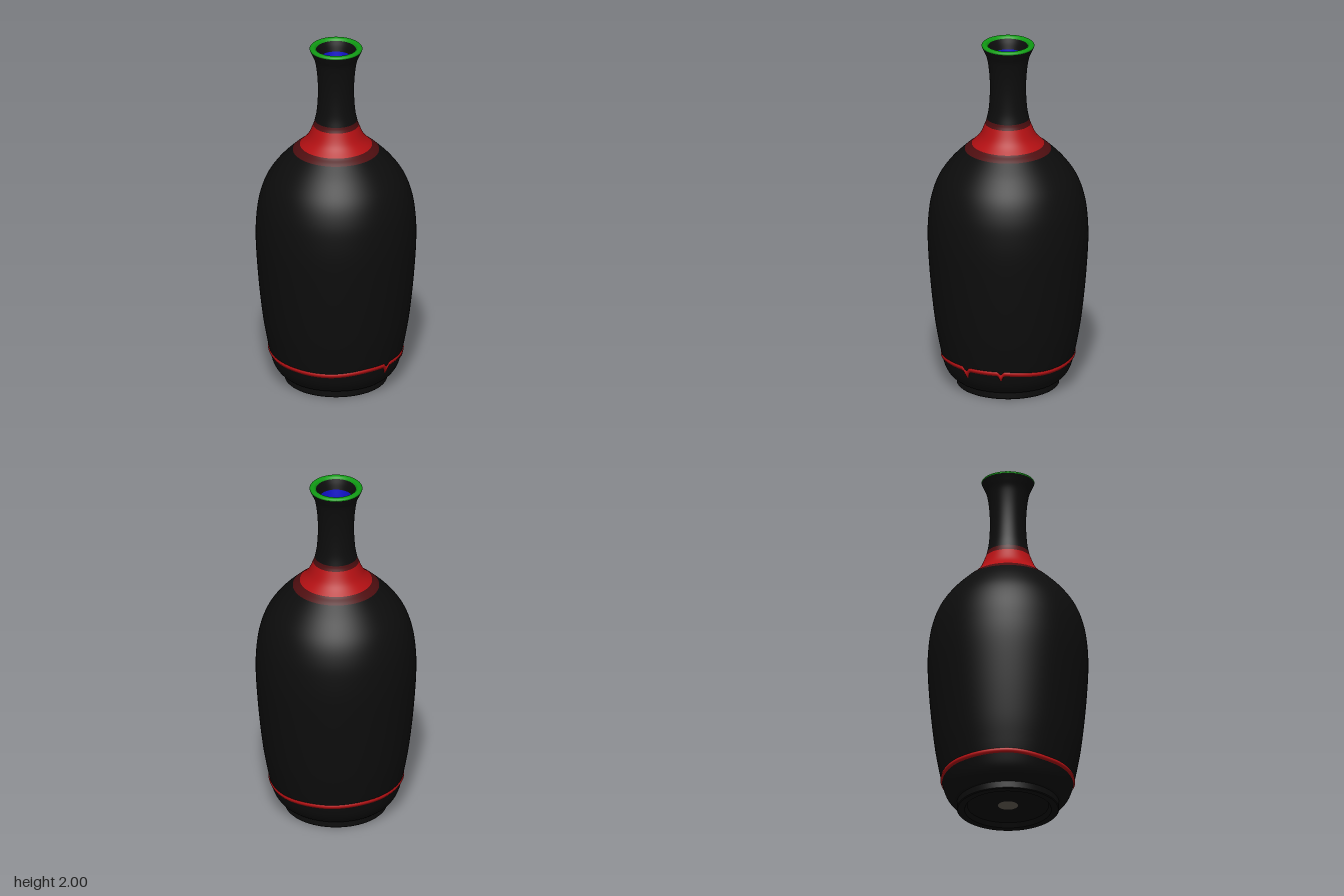
import * as THREE from 'three';
import { toCreasedNormals } from 'three/addons/utils/BufferGeometryUtils.js';

const SEG = 96;
const paint = (name, color) => {
  const m = new THREE.MeshStandardMaterial({ color });
  m.name = name;
  return m;
};
const vec = (list) => list.map(([r, y]) => new THREE.Vector2(r, y));
const smooth = (list, n) => new THREE.SplineCurve(vec(list)).getPoints(n);

// Outer wall from the foot to the lip
const wall = smooth([
  [0.298, 0.045], [0.325, 0.07], [0.348, 0.11], [0.365, 0.17], [0.384, 0.26], [0.407, 0.4],
  [0.43, 0.62], [0.444, 0.85], [0.438, 1.0], [0.419, 1.11], [0.381, 1.21], [0.318, 1.3],
  [0.239, 1.38], [0.2, 1.412], [0.157, 1.46], [0.126, 1.53], [0.117, 1.56], [0.106, 1.62],
  [0.1, 1.72], [0.103, 1.82], [0.115, 1.91], [0.132, 1.955], [0.145, 1.985],
], 132);

// Wall radius at a height
function radiusAt(y) {
  let i = 1;
  while (i < wall.length - 1 && wall[i].y < y) i++;
  const a = wall[i - 1], b = wall[i];
  return a.x + (b.x - a.x) * (y - a.y) / (b.y - a.y);
}

// Part of the wall between two heights
const slice = (y0, y1) => [
  new THREE.Vector2(radiusAt(y0), y0),
  ...wall.filter((p) => p.y > y0 + 0.002 && p.y < y1 - 0.002),
  new THREE.Vector2(radiusAt(y1), y1),
];

// Height of the glaze edge around the body, in steps of 45 degrees
const EDGE = [0.172, 0.165, 0.182, 0.182, 0.165, 0.175, 0.186, 0.19];
function edgeAt(angle) {
  const t = (angle / (Math.PI * 2)) * 8;
  const i = Math.floor(t) % 8;
  const f = (1 - Math.cos((t - Math.floor(t)) * Math.PI)) / 2;
  return EDGE[i] * (1 - f) + EDGE[(i + 1) % 8] * f;
}
// Two drips: angle, depth, width
const DRIPS = [[1.82, 0.043, 0.042], [2.39, 0.033, 0.03]];
const dripAt = (angle) =>
  DRIPS.reduce((s, [a, d, w]) => s + d * Math.exp(-(((angle - a) / w) ** 2)), 0);

// Raised wavy bead, laid over the wall
function glazeEdge() {
  const around = 384, rows = 6, pos = [], index = [];
  for (let i = 0; i <= around; i++) {
    const a = ((i % around) / around) * Math.PI * 2;
    const low = edgeAt(a) - 0.013 - dripAt(a);
    const high = edgeAt(a) + 0.013 - dripAt(a) * 0.6;
    for (let j = 0; j <= rows; j++) {
      const t = j / rows;
      const y = low + (high - low) * t;
      const r = radiusAt(y) + 0.0008 + 0.006 * Math.sin(Math.PI * t);
      pos.push(r * Math.sin(a), y, r * Math.cos(a));
      if (i < around && j < rows) {
        const p = i * (rows + 1) + j, q = p + rows + 1;
        index.push(p, q, p + 1, q + 1, p + 1, q);
      }
    }
  }
  const g = new THREE.BufferGeometry();
  g.setAttribute('position', new THREE.Float32BufferAttribute(pos, 3));
  g.setIndex(index);
  g.computeVertexNormals();
  return g;
}

export function createModel() {
  const black = paint('black glaze', 0x0d0d0d);
  const red = paint('red', 0xb41013);
  const darkRed = paint('dark red', 0x4e0e10);
  const green = paint('green', 0x109a14);
  const blue = paint('blue', 0x1010c8);
  const grey = paint('grey clay', 0x70685e);

  const group = new THREE.Group();
  const add = (name, geometry, material) => {
    const mesh = new THREE.Mesh(geometry, material);
    mesh.name = name;
    group.add(mesh);
  };
  const turn = (name, points, material) =>
    add(name, new THREE.LatheGeometry(points, SEG), material);

  // Foot ring with a recessed base and a bare spot
  turn('baseSpot', vec([[0, 0.025], [0.055, 0.025]]), grey);
  const foot = vec([[0.055, 0.025], [0.225, 0.025], [0.24, 0], [0.278, 0],
    [0.283, 0.005], [0.283, 0.042], [0.298, 0.045]]);
  add('foot', toCreasedNormals(new THREE.LatheGeometry(foot, SEG), 0.5), black);

  // Outer wall in coloured zones
  turn('body', slice(0.045, 1.38), black);
  turn('lowerShoulderBand', slice(1.38, 1.412), darkRed);
  turn('shoulderBand', slice(1.412, 1.53), red);
  turn('upperShoulderBand', slice(1.53, 1.56), darkRed);
  turn('neck', slice(1.56, 1.985), black);
  add('glazeEdge', glazeEdge(), red);

  // Rounded lip
  turn('lip', smooth([[0.145, 1.985], [0.146, 1.991], [0.139, 1.998], [0.128, 2],
    [0.117, 1.996], [0.11, 1.986]], 20), green);

  // Hollow inside
  turn('mouth', smooth([[0.11, 1.986], [0.1, 1.96], [0.091, 1.93]], 8), black);
  turn('inside', smooth([[0.091, 1.93], [0.078, 1.85], [0.07, 1.72], [0.075, 1.62],
    [0.095, 1.53], [0.2, 1.38], [0.345, 1.2], [0.405, 1], [0.408, 0.8], [0.37, 0.4],
    [0.325, 0.16], [0.24, 0.09], [0.1, 0.08], [0.013, 0.08]], 80), blue);
  turn('insideSpot', vec([[0.013, 0.08], [0, 0.08]]), grey);

  return group;
}
